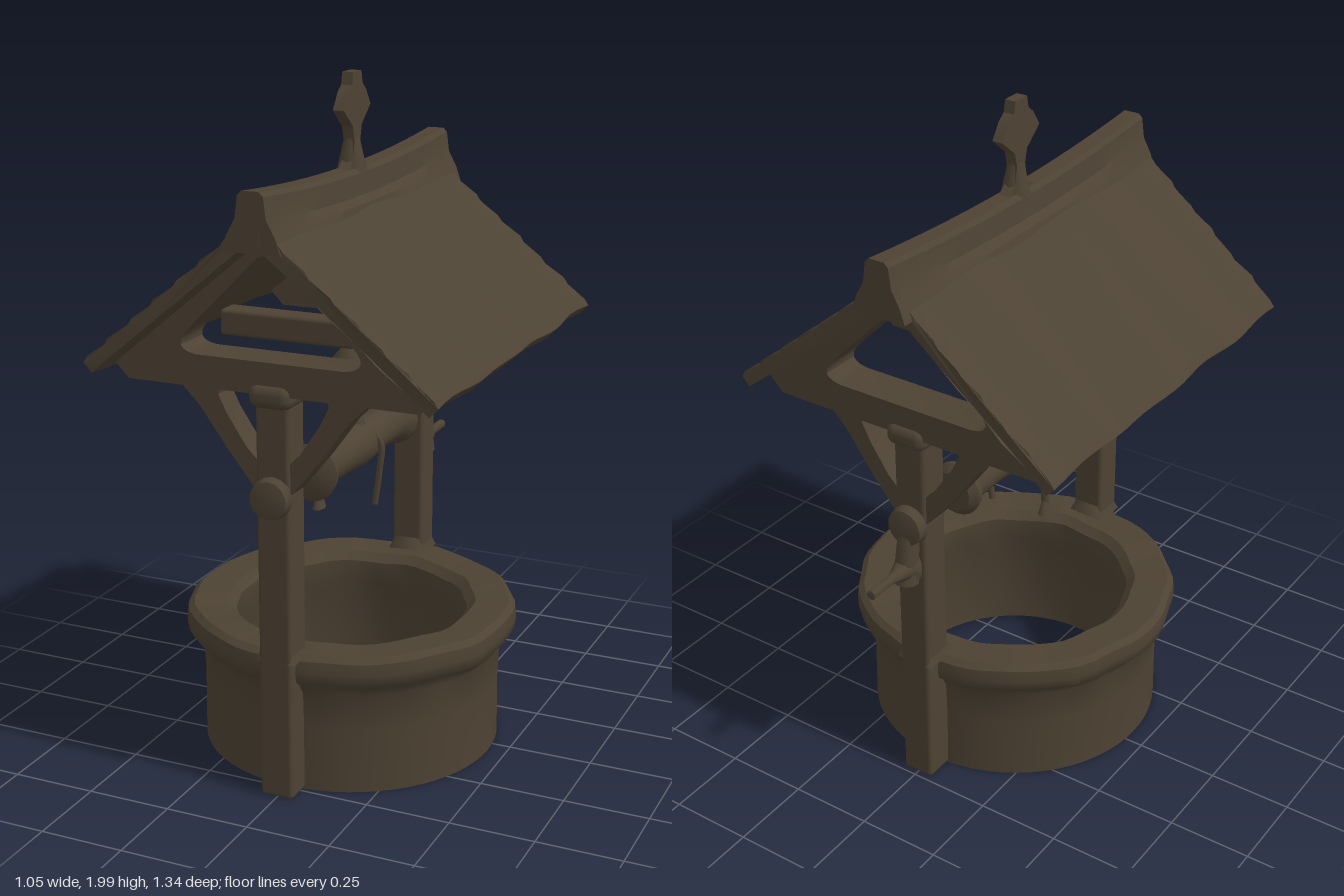
import * as THREE from 'three';
import { toCreasedNormals } from 'three/addons/utils/BufferGeometryUtils.js';
import { RoundedBoxGeometry } from 'three/addons/geometries/RoundedBoxGeometry.js';

const V = (list) => list.map(([x, y]) => new THREE.Vector2(x, y));

export function createModel() {
  const model = new THREE.Group();
  model.name = 'well';
  const wood = new THREE.MeshStandardMaterial({ color: 0x4d4233 });
  wood.name = 'weatheredBrown';
  const CZ = 0.045; // centre of the well along z

  const add = (name, geo, x = 0, y = 0, z = 0, parent = model) => {
    const m = new THREE.Mesh(geo, wood);
    m.name = name;
    m.position.set(x, y, z);
    parent.add(m);
    return m;
  };
  const box = (name, w, h, d, x, y, z, r = 0.012) =>
    add(name, new RoundedBoxGeometry(w, h, d, 2, r), x, y, z);
  const extrude = (shape, z0, z1) => {
    const g = new THREE.ExtrudeGeometry(shape, { depth: z1 - z0, bevelEnabled: false, curveSegments: 6 });
    g.translate(0, 0, z0);
    return toCreasedNormals(g, 0.5);
  };
  const lathe = (pts, n) => toCreasedNormals(new THREE.LatheGeometry(V(pts), n), 0.7);

  // stone ring, open through the middle, with a slightly uneven rim
  const ring = new THREE.LatheGeometry(V([
    [0.36, 0.01], [0.445, 0.01], [0.443, 0.2], [0.448, 0.31], [0.465, 0.34], [0.487, 0.36], [0.492, 0.39],
    [0.488, 0.425], [0.47, 0.44], [0.37, 0.435], [0.345, 0.41], [0.345, 0.34], [0.36, 0.3], [0.36, 0.01],
  ]), 64);
  const rp = ring.attributes.position;
  for (let i = 0; i < rp.count; i++) {
    const a = Math.atan2(rp.getX(i), rp.getZ(i));
    if (rp.getY(i) > 0.32) {
      const k = 1 + 0.006 * Math.sin(a * 11) + 0.004 * Math.sin(a * 17);
      rp.setXYZ(i, rp.getX(i) * k, rp.getY(i) + 0.003 * Math.sin(a * 9), rp.getZ(i) * k);
    }
  }
  add('stoneRing', toCreasedNormals(ring, 0.7), 0, 0, CZ);

  // gable truss outline with a rounded triangular opening
  const truss = new THREE.Shape(V([
    [-0.43, 1.2], [0.43, 1.2], [0.48, 1.25], [0.06, 1.62], [-0.06, 1.62], [-0.48, 1.25],
  ]));
  const hole = new THREE.Path();
  hole.moveTo(-0.22, 1.29);
  hole.quadraticCurveTo(-0.3, 1.3, -0.24, 1.36);
  hole.lineTo(-0.05, 1.55);
  hole.quadraticCurveTo(0, 1.605, 0.05, 1.55);
  hole.lineTo(0.24, 1.36);
  hole.quadraticCurveTo(0.3, 1.3, 0.22, 1.29);
  hole.closePath();
  truss.holes.push(hole);

  // slanted brace, widening where it meets post and beam
  const brace = (s) => new THREE.Shape(V([
    [0, 0.87], [0.06, 0.93], [0.14, 1.03], [0.22, 1.14], [0.28, 1.2], [0.28, 1.23],
    [0.15, 1.23], [0.165, 1.18], [0.14, 1.13], [0.08, 1.04], [0.04, 1.0], [0, 1.0],
  ].map(([x, y]) => [x * s, y])));

  // front and back frames
  for (const [side, z, out] of [['front', 0.515, 1], ['back', -0.435, -1]]) {
    box(side + 'Post', 0.1, 1.23, 0.1, 0, 0.625, z);
    add(side + 'Truss', extrude(truss, z - 0.06, z + 0.06));
    for (const s of [1, -1]) add(side + 'Brace', extrude(brace(s), z - 0.04, z + 0.04));
    box(side + 'PostCap', 0.13, 0.07, 0.15, 0, 1.195, z, 0.03);
    // bearing boss of the axle
    const boss = add(side + 'Bearing', lathe([[0, -0.03], [0.035, -0.025], [0.06, 0], [0.055, 0.03], [0, 0.045]], 14),
      0, 0.91, z + out * 0.05);
    boss.rotation.x = out * Math.PI / 2;
    const inner = add(side + 'Collar', new THREE.CylinderGeometry(0.025, 0.045, 0.05, 12), 0, 0.91, z - out * 0.07);
    inner.rotation.x = -out * Math.PI / 2;
    // flare where the post meets the rim
    const foot = add(side + 'PostFlare', new THREE.CylinderGeometry(0.05, 0.085, 0.06, 4), 0, 0.455, z - out * 0.01);
    foot.rotation.y = Math.PI / 4;
  }
  box('middleTieBeam', 0.84, 0.08, 0.08, 0, 1.245, 0.03);

  // roof slabs with softly stepped shingle courses
  const top = [], under = [];
  const courses = 7;
  for (let i = 0; i <= courses; i++) {
    const t = i / courses, x = 0.02 + 0.5 * t, y = 1.665 - 0.415 * t;
    top.push([x, y + 0.002]);
    if (i < courses) top.push([x + 0.058, y - 0.038]);
    under.unshift([x - 0.025 * t, y - 0.05 + 0.025 * t]);
  }
  const slab = top.concat(under);
  for (const s of [1, -1]) {
    const shape = new THREE.Shape(V(slab.map(([x, y]) => [x * s, y])));
    const g = new THREE.ExtrudeGeometry(shape, { depth: 1.225, steps: 24, bevelEnabled: false });
    g.translate(0, 0, -0.56);
    const p = g.attributes.position;
    for (let i = 0; i < p.count; i++) {
      const x = p.getX(i), z = p.getZ(i);
      p.setX(i, x + s * 0.005 * Math.sin(z * 19) * Math.abs(x) / 0.5);
      p.setY(i, p.getY(i) + 0.004 * Math.sin(z * 13 + s));
      if (Math.abs(z - 0.05) > 0.6) p.setZ(i, z + 0.005 * Math.sin(x * 40));
    }
    add(s > 0 ? 'leftRoof' : 'rightRoof', toCreasedNormals(g, 0.5));
  }

  // ridge cap, flared at the foot and sagging in the middle
  const capShape = new THREE.Shape(V([
    [-0.085, 1.6], [0.085, 1.6], [0.07, 1.645], [0.045, 1.69], [0.037, 1.75], [0.025, 1.762],
    [-0.025, 1.762], [-0.037, 1.75], [-0.045, 1.69], [-0.07, 1.645],
  ]));
  const cap = new THREE.ExtrudeGeometry(capShape, { depth: 1.26, steps: 20, bevelEnabled: false });
  cap.translate(0, 0, -0.592);
  const cp = cap.attributes.position;
  for (let i = 0; i < cp.count; i++) {
    const u = (cp.getZ(i) - 0.04) / 0.63;
    if (cp.getY(i) > 1.65) cp.setY(i, cp.getY(i) - 0.03 * (1 - u * u));
  }
  add('ridgeCap', toCreasedNormals(cap, 0.6));

  // flat finial standing along the ridge
  const half = [[0.075, 1.72], [0.03, 1.755], [0.02, 1.81], [0.03, 1.85], [0.09, 1.9], [0.06, 1.945], [0.035, 1.965], [0.028, 2]];
  const outline = half.concat(half.slice().reverse().map(([x, y]) => [-x, y]));
  const finial = add('finial', extrude(new THREE.Shape(V(outline)), -0.017, 0.017), 0, 0, 0.042);
  finial.rotation.y = Math.PI / 2;
  add('finialFoot', new THREE.CylinderGeometry(0.022, 0.045, 0.1, 10), 0, 1.765, 0.042);

  // axle and winding drum
  const axle = add('axle', new THREE.CylinderGeometry(0.02, 0.02, 1.1, 12), 0, 0.91, 0.04);
  axle.rotation.x = Math.PI / 2;
  const drum = add('windingDrum', lathe([
    [0, -0.285], [0.06, -0.285], [0.083, -0.265], [0.08, -0.245], [0.062, -0.22], [0.06, -0.1], [0.07, 0.03],
    [0.062, 0.16], [0.06, 0.28], [0.08, 0.31], [0.085, 0.33], [0.06, 0.345], [0, 0.345],
  ], 20), 0, 0.91, 0);
  drum.rotation.x = Math.PI / 2;

  // pulley and the ropes
  add('pulley', lathe([[0, -0.085], [0.025, -0.08], [0.055, -0.045], [0.065, 0], [0.062, 0.05], [0.035, 0.08], [0, 0.085]], 16),
    0, 1.125, 0.025);
  add('pulleyHanger', new THREE.CylinderGeometry(0.03, 0.03, 0.06, 10), 0, 1.205, 0.025);
  add('pulleyRope', new THREE.CylinderGeometry(0.014, 0.035, 0.1, 10), 0, 1.01, 0.025);
  const rope = (name, pts, r) => add(name, new THREE.TubeGeometry(
    new THREE.CatmullRomCurve3(pts.map((p) => new THREE.Vector3(...p))), 12, r, 8));
  rope('hangingRope', [[-0.05, 0.94, 0.05], [-0.085, 0.92, 0.05], [-0.1, 0.84, 0.05], [-0.105, 0.74, 0.05]], 0.013);
  add('ropeEnd', new THREE.CylinderGeometry(0.012, 0.03, 0.05, 8), -0.105, 0.725, 0.05).scale.x = 0.6;
  rope('shortRope', [[0.045, 0.95, 0], [0.075, 0.91, 0], [0.07, 0.83, 0], [0.055, 0.72, 0]], 0.01);

  // crank arm and handle on the back
  const arm = add('crankArm', new THREE.CylinderGeometry(0.03, 0.038, 0.2, 10), 0, 0.83, -0.5);
  arm.rotation.x = 0.12;
  add('crankKnuckle', new THREE.SphereGeometry(0.05, 14, 10), 0, 0.77, -0.495).scale.set(0.8, 1.2, 0.9);
  const handle = add('crankHandle', lathe([[0, 0], [0.04, 0], [0.022, 0.05], [0.014, 0.07], [0.014, 0.165], [0, 0.168]], 12),
    0, 0.775, -0.507);
  handle.rotation.x = -Math.PI / 2;

  return model;
}
